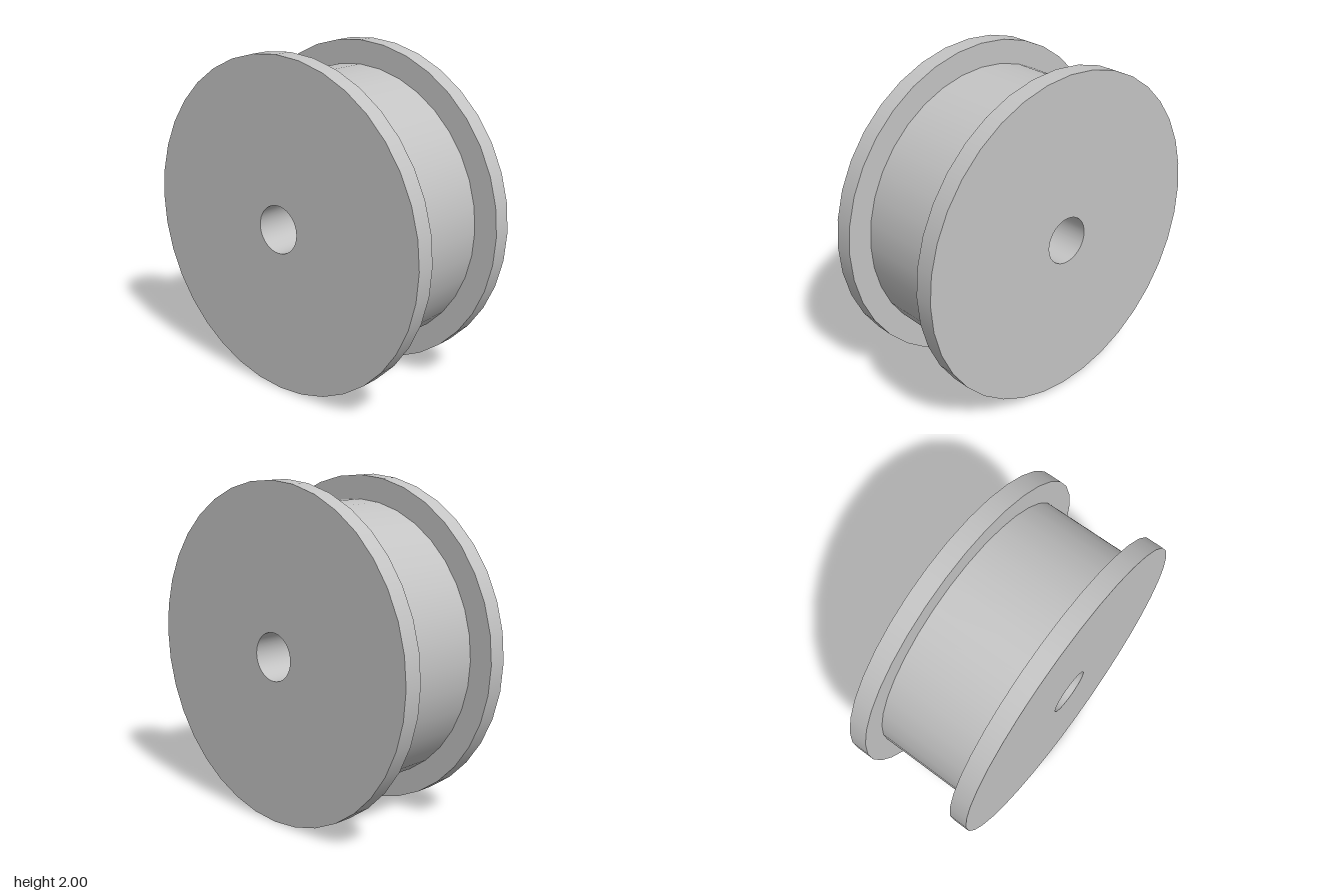
import * as THREE from 'three';
import { mergeGeometries } from 'three/addons/utils/BufferGeometryUtils.js';

const SIDES = 36;
const RIM = 1, DRUM = 0.856, BORE = 0.143; // radii
const OUT = 0.414, IN = 0.3;               // flange faces along x

// Turns a profile of [radius, x] points about the x axis, with a sharp edge at every point.
function turned(profile) {
  const bands = [];
  for (let i = 0; i < profile.length - 1; i++) {
    const pts = [profile[i], profile[i + 1]].map(([r, x]) => new THREE.Vector2(r, x));
    bands.push(new THREE.LatheGeometry(pts, SIDES));
  }
  return mergeGeometries(bands).rotateZ(-Math.PI / 2);
}

export function createModel() {
  const model = new THREE.Group();
  model.name = 'flangedRoller';
  const grey = new THREE.MeshStandardMaterial({ color: 0xc4c4c4 });
  grey.name = 'grey';

  const add = (name, profile) => {
    const mesh = new THREE.Mesh(turned(profile), grey);
    mesh.name = name;
    mesh.position.y = 1;
    model.add(mesh);
  };

  // Flanges: rim, outer face, and inner face down to the drum
  add('leftFlange', [[DRUM, IN], [RIM, IN], [RIM, OUT], [BORE, OUT]]);
  add('rightFlange', [[BORE, -OUT], [RIM, -OUT], [RIM, -IN], [DRUM, -IN]]);
  // Drum between the flanges
  add('drum', [[DRUM, -IN], [DRUM, IN]]);
  // Axle hole right through, facing inwards
  add('axleBore', [[BORE, OUT], [BORE, -OUT]]);

  return model;
}
